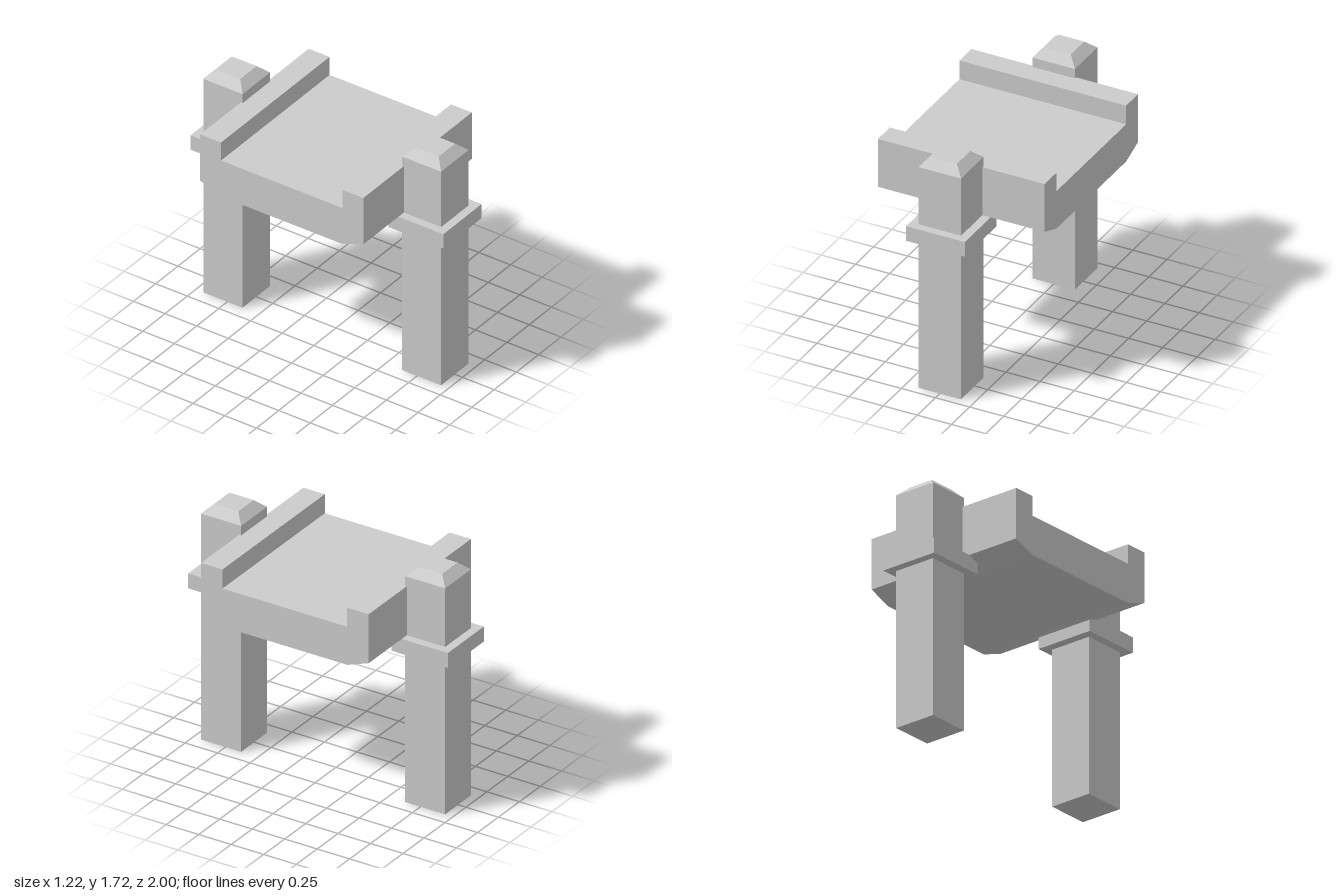
import * as THREE from 'three';

const material = new THREE.MeshStandardMaterial({ color: 0xcccccc, flatShading: true });

function add(parent, name, geometry, x = 0, y = 0, z = 0) {
  const mesh = new THREE.Mesh(geometry, material);
  mesh.name = name;
  mesh.position.set(x, y, z);
  parent.add(mesh);
  return mesh;
}

// Square pillar with a collar and a bevelled cap
function createPillar(name) {
  const pillar = new THREE.Group();
  pillar.name = name;
  const width = 0.31, shaftTop = 1.66, capHeight = 0.06;
  add(pillar, 'shaft', new THREE.BoxGeometry(width, shaftTop, width), 0, shaftTop / 2, 0);
  add(pillar, 'collar', new THREE.BoxGeometry(0.43, 0.11, 0.435), 0, 1.175, -0.0025);
  const cap = new THREE.CylinderGeometry(0.092 * Math.SQRT2, width / 2 * Math.SQRT2, capHeight, 4, 1, false, Math.PI / 4);
  add(pillar, 'cap', cap, 0, shaftTop + capHeight / 2, 0);
  return pillar;
}

// Deck section: raised parapets at both ends, chamfered underside
function createDeck() {
  const half = [[0.48, 1.17], [0.645, 1.23], [0.645, 1.59], [0.48, 1.59], [0.48, 1.45]];
  const mirrored = half.map(([z, y]) => [-z, y]).reverse();
  const shape = new THREE.Shape([...half, ...mirrored].map(([z, y]) => new THREE.Vector2(z, y)));
  const width = 1.22;
  const geometry = new THREE.ExtrudeGeometry(shape, { depth: width, bevelEnabled: false });
  geometry.translate(0, 0, -width / 2);
  geometry.rotateY(Math.PI / 2);
  return geometry;
}

export function createModel() {
  const model = new THREE.Group();
  model.name = 'bridgeSection';
  add(model, 'deck', createDeck());

  // One pillar at each parapet, the back one turned around
  const front = createPillar('frontPillar');
  front.position.z = 0.785;
  const back = createPillar('backPillar');
  back.position.z = -0.785;
  back.rotation.y = Math.PI;
  model.add(front, back);
  return model;
}
